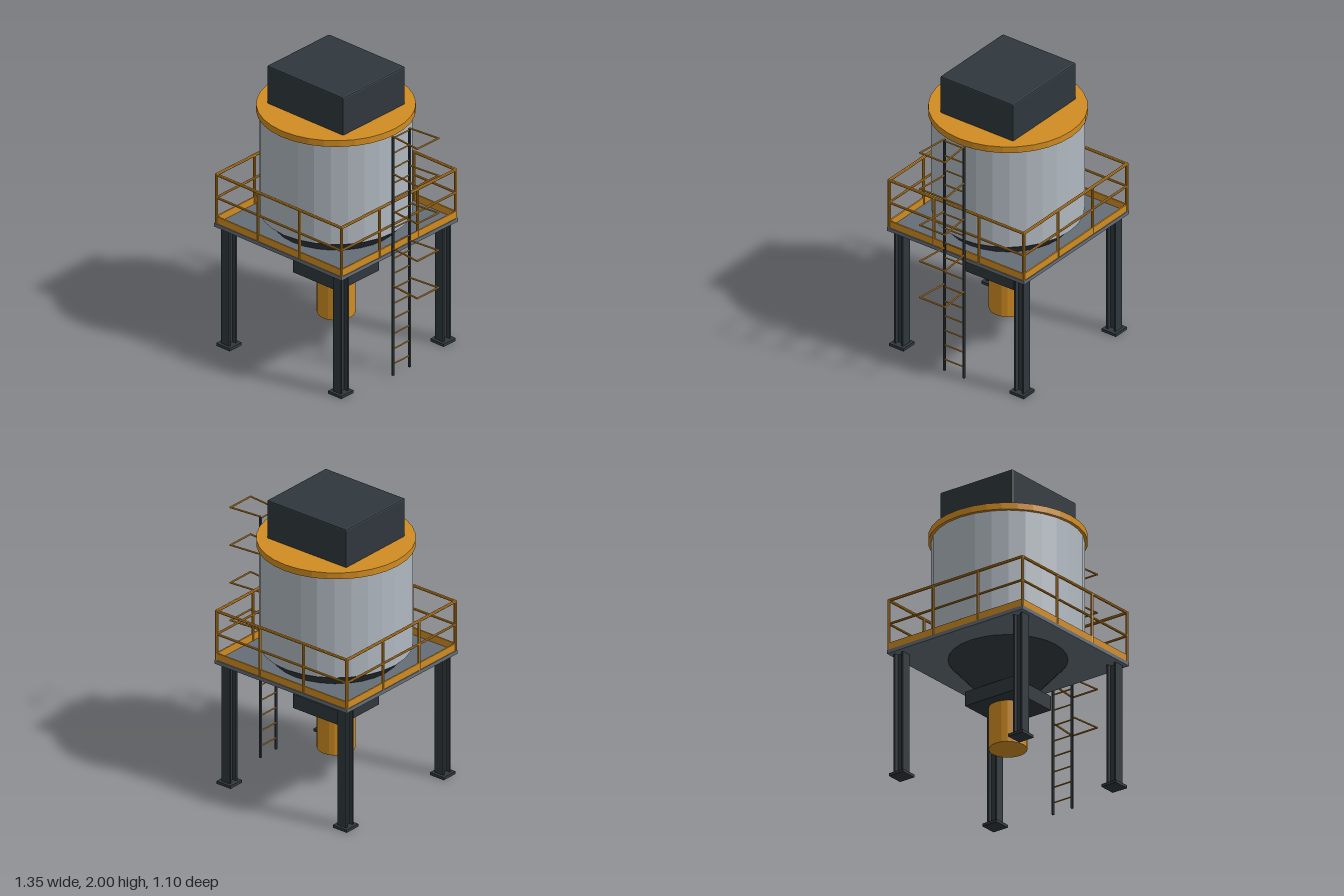
import * as THREE from 'three';
import { RoundedBoxGeometry } from 'three/addons/geometries/RoundedBoxGeometry.js';

const CX = -0.125; // axis of the silo and its platform

export function createModel() {
  const model = new THREE.Group();
  model.name = 'siloOnPlatform';

  const mat = (name, color, flatShading = false) => {
    const m = new THREE.MeshStandardMaterial({ color, flatShading });
    m.name = name;
    return m;
  };
  const steel = mat('darkSteel', 0x2f373d, true);
  const orange = mat('safetyOrange', 0xd08c22, true);
  const tankGrey = mat('tankGrey', 0xb0b8c0, true);
  const deckGrey = mat('deckGrey', 0x656e78, true);

  const add = (parent, name, geometry, material, x, y, z) => {
    const mesh = new THREE.Mesh(geometry, material);
    mesh.name = name;
    mesh.position.set(x, y, z);
    parent.add(mesh);
    return mesh;
  };
  const box = (parent, name, material, w, h, d, x, y, z) =>
    add(parent, name, new THREE.BoxGeometry(w, h, d), material, x, y, z);
  const drum = (name, material, rTop, rBottom, y0, y1, sides) =>
    add(model, name, new THREE.CylinderGeometry(rTop, rBottom, y1 - y0, sides), material, CX, (y0 + y1) / 2, 0);
  const group = (name, x = 0, y = 0, z = 0) => {
    const g = new THREE.Group();
    g.name = name;
    g.position.set(x, y, z);
    model.add(g);
    return g;
  };
  // round bar between two points
  const bar = (parent, name, material, a, b, r) => {
    const from = new THREE.Vector3(...a), to = new THREE.Vector3(...b);
    const dir = to.clone().sub(from);
    const mid = from.add(to).multiplyScalar(0.5);
    const mesh = add(parent, name, new THREE.CylinderGeometry(r, r, dir.length(), 8), material, mid.x, mid.y, mid.z);
    mesh.quaternion.setFromUnitVectors(new THREE.Vector3(0, 1, 0), dir.normalize());
  };

  // Silo body
  drum('tank', tankGrey, 0.49, 0.49, 0.97, 1.69, 28);
  drum('lid', orange, 0.51, 0.51, 1.685, 1.73, 32);
  drum('hopperCone', steel, 0.482, 0.17, 0.62, 0.97, 28);
  drum('outletPipe', orange, 0.124, 0.124, 0.23, 0.53, 20);
  box(model, 'outletCollar', steel, 0.39, 0.1, 0.39, CX, 0.57, 0);
  add(model, 'filterHousing', new RoundedBoxGeometry(0.66, 0.275, 0.588, 1, 0.01), steel, CX, 1.8625, 0);

  // Platform deck
  box(model, 'deck', deckGrey, 1.1, 0.026, 1.1, CX, 0.873, 0);

  // H-section legs on base plates
  for (const sx of [-1, 1]) for (const sz of [-1, 1]) {
    const leg = group('leg', CX + sx * 0.483, 0, sz * 0.483);
    box(leg, 'basePlate', steel, 0.115, 0.02, 0.115, 0, 0.01, 0);
    box(leg, 'web', steel, 0.014, 0.84, 0.055, 0, 0.44, 0);
    for (const s of [-1, 1]) box(leg, 'flange', steel, 0.07, 0.84, 0.013, 0, 0.44, s * 0.031);
  }

  // Guard rail: one side repeated four times
  const H = 0.54;
  for (let i = 0; i < 4; i++) {
    const side = group('guardRailSide', CX, 0, 0);
    side.rotation.y = i * Math.PI / 2;
    box(side, 'toeBoard', orange, 2 * H, 0.05, 0.01, 0, 0.911, H);
    for (const y of [1.07, 1.235]) bar(side, 'rail', orange, [-H, y, H], [H, y, H], y > 1.1 ? 0.01 : 0.008);
    for (const x of [-H, -H / 3, H / 3]) bar(side, 'post', orange, [x, 0.886, H], [x, 1.24, H], 0.01);
  }

  // Ladder with rungs
  const LX = 0.438, LZ = 0.078;
  const ladder = group('ladder');
  for (const s of [-1, 1]) box(ladder, 'ladderStile', steel, 0.013, 1.72, 0.013, LX, 0.86, s * LZ);
  for (let i = 0; i < 16; i++) {
    const y = 0.082 + i * 0.1085;
    bar(ladder, 'rung', orange, [LX, y, -LZ], [LX, y, LZ], 0.005);
  }

  // Ladder safety hoops
  for (let i = 0; i < 5; i++) {
    const y = 0.645 + i * 0.2695, ox = 0.668, oz = 0.1;
    const hoop = group('safetyHoop');
    for (const s of [-1, 1]) bar(hoop, 'hoopArm', orange, [LX, y, s * LZ], [ox, y, s * oz], 0.006);
    bar(hoop, 'hoopEnd', orange, [ox, y, -oz - 0.004], [ox, y, oz + 0.004], 0.006);
  }

  return model;
}
